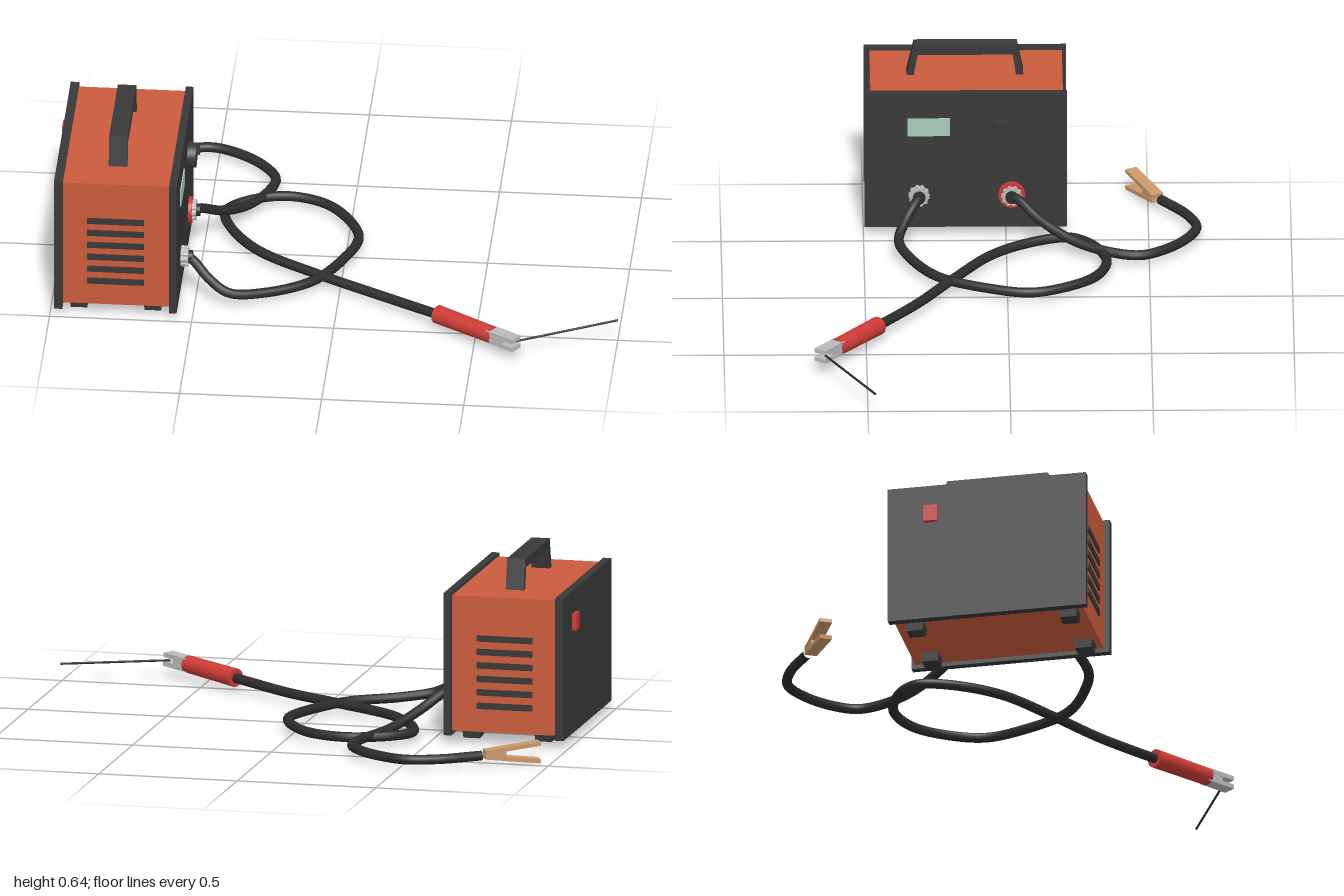
import * as THREE from 'three';

const mat = (name, color) => Object.assign(new THREE.MeshStandardMaterial({ color }), { name });

export function createModel() {
  const orange = mat('orange casing', 0xcb5b3c);
  const dark = mat('dark panel', 0x383838);
  const black = mat('black rubber', 0x2c2c2e);
  const red = mat('red plastic', 0xcc3b36);
  const steel = mat('steel', 0xb9b9b9);
  const mint = mat('display mint', 0xa6ccb8);
  const copper = mat('copper', 0xc9976b);

  const model = new THREE.Group();
  model.name = 'weldingMachine';

  const add = (name, geo, material, x = 0, y = 0, z = 0, parent = model) => {
    const mesh = new THREE.Mesh(geo, material);
    mesh.name = name;
    mesh.position.set(x, y, z);
    parent.add(mesh);
    return mesh;
  };
  // box from its minimum and maximum corners
  const box = (name, a, b, material, parent = model) =>
    add(name, new THREE.BoxGeometry(b[0] - a[0], b[1] - a[1], b[2] - a[2]), material,
      (a[0] + b[0]) / 2, (a[1] + b[1]) / 2, (a[2] + b[2]) / 2, parent);
  // cylinder lying along x
  const discX = (r, length, sides = 32) => new THREE.CylinderGeometry(r, r, length, sides).rotateZ(-Math.PI / 2);
  // outline drawn in (z, y), extruded along x and centred
  const extrudeX = (shape, depth) =>
    new THREE.ExtrudeGeometry(shape, { depth, bevelEnabled: false }).translate(0, 0, -depth / 2).rotateY(-Math.PI / 2);
  const outline = pts => new THREE.Shape(pts.map(p => new THREE.Vector2(...p)));

  // casing and end panels
  box('casing', [-0.965, 0.045, -0.2], [-0.57, 0.53, 0.475], orange);
  box('backPanel', [-0.985, 0.03, -0.214], [-0.955, 0.54, 0.496], dark);
  box('frontPanel', [-0.58, 0.03, -0.214], [-0.553, 0.54, 0.496], dark);

  // vents on both sides
  for (const [side, z] of [['left', 0.476], ['right', -0.201]])
    for (let i = 0; i < 6; i++)
      add(side + 'Vent', new THREE.BoxGeometry(0.2, 0.022, 0.009), dark, -0.77, 0.139 + i * 0.0483, z);

  // feet, tapering downwards
  for (const x of [-0.9, -0.64])
    for (const z of [-0.13, 0.42]) {
      const foot = new THREE.BoxGeometry(0.066, 0.034, 0.066);
      const p = foot.attributes.position;
      for (let i = 0; i < p.count; i++)
        if (p.getY(i) < 0) p.setXYZ(i, p.getX(i) * 0.88, p.getY(i), p.getZ(i) * 0.88);
      foot.computeVertexNormals();
      add('foot', foot, dark, x, 0.03, z);
    }

  // carrying handle
  add('handle', extrudeX(outline([
    [-0.063, 0.528], [-0.04, 0.638], [0.322, 0.638], [0.348, 0.528],
    [0.322, 0.528], [0.308, 0.606], [-0.026, 0.606], [-0.037, 0.528]]), 0.065), dark, -0.772);

  // display, knob and power switch
  box('display', [-0.556, 0.378, 0.196], [-0.549, 0.445, 0.346], mint);
  add('knob', discX(0.044, 0.03), dark, -0.538, 0.396, 0.013);
  box('knobPointer', [-0.53, 0.4, 0.006], [-0.511, 0.44, 0.02], dark);
  box('powerSwitch', [-1, 0.4, -0.085], [-0.983, 0.46, -0.035], red);

  // cable sockets with knurled collars
  const knurl = [];
  for (let i = 0; i < 40; i++) {
    const a = (i / 40) * Math.PI * 2, r = i % 4 < 2 ? 0.037 : 0.032;
    knurl.push([Math.cos(a) * r, Math.sin(a) * r]);
  }
  for (const z of [0.305, -0.02]) {
    add('socketCollar', extrudeX(outline(knurl), 0.03), steel, -0.541, 0.155, z);
    add('socketPlug', discX(0.022, 0.02), black, -0.522, 0.155, z);
  }
  add('socketRing', discX(0.047, 0.016), red, -0.548, 0.155, -0.02);

  // cables
  const cable = (name, pts, segments) => {
    const curve = new THREE.CatmullRomCurve3(pts.map(p => new THREE.Vector3(...p)));
    return add(name, new THREE.TubeGeometry(curve, segments, 0.0175, 12), black);
  };
  cable('holderCable', [
    [-0.54, 0.155, 0.3], [-0.51, 0.145, 0.315], [-0.45, 0.095, 0.355], [-0.38, 0.055, 0.378], [-0.265, 0.038, 0.34],
    [-0.1, 0.035, 0.24], [0, 0.035, 0.07], [0.04, 0.035, -0.08], [-0.01, 0.035, -0.21], [-0.1, 0.035, -0.31],
    [-0.235, 0.035, -0.35], [-0.37, 0.036, -0.305], [-0.435, 0.036, -0.24], [-0.44, 0.036, -0.19],
    [-0.39, 0.036, -0.07], [-0.29, 0.036, 0.053], [-0.08, 0.036, 0.19], [0.136, 0.038, 0.315], [0.38, 0.051, 0.47]], 160);
  cable('clampCable', [
    [-0.54, 0.155, -0.02], [-0.51, 0.145, -0.05], [-0.45, 0.1, -0.118], [-0.37, 0.052, -0.24], [-0.3, 0.038, -0.375],
    [-0.285, 0.035, -0.47], [-0.335, 0.035, -0.556], [-0.425, 0.035, -0.63], [-0.527, 0.035, -0.668],
    [-0.64, 0.035, -0.635], [-0.77, 0.036, -0.545]], 100);

  // electrode holder, its length along local z
  const holder = new THREE.Group();
  holder.name = 'electrodeHolder';
  holder.position.set(0.362, 0.051, 0.458);
  holder.lookAt(0.57, 0.06, 0.604);
  model.add(holder);
  add('holderGrip', new THREE.CylinderGeometry(0.031, 0.033, 0.255, 24).rotateX(Math.PI / 2), red, 0, 0, 0.1275, holder);
  for (const s of [-1, 1])
    add('holderJaw', new THREE.BoxGeometry(0.046, 0.016, 0.12), steel, 0, s * 0.016, 0.3, holder);
  add('jawBlock', new THREE.BoxGeometry(0.042, 0.03, 0.06), steel, 0, 0, 0.28, holder);

  // welding rod
  const from = new THREE.Vector3(0.645, 0.061, 0.646), to = new THREE.Vector3(0.998, 0.066, 0.474);
  const rod = new THREE.CylinderGeometry(0.004, 0.004, from.distanceTo(to), 8).rotateX(Math.PI / 2);
  const rodMid = from.clone().lerp(to, 0.5);
  add('weldingRod', rod, black, rodMid.x, rodMid.y, rodMid.z).lookAt(to);

  // earth clamp, two jaws opening away from the cable
  const clamp = new THREE.Group();
  clamp.name = 'earthClamp';
  clamp.position.set(-0.778, 0.039, -0.534);
  clamp.lookAt(-0.955, 0.039, -0.441);
  model.add(clamp);
  for (const s of [-1, 1]) {
    const jaw = add('clampJaw', new THREE.BoxGeometry(0.044, 0.014, 0.2).translate(0, 0, 0.1), copper, 0, s * 0.008, 0, clamp);
    jaw.rotation.x = -s * 0.12;
  }
  add('clampHinge', new THREE.BoxGeometry(0.04, 0.026, 0.06), copper, 0, 0, 0.045, clamp);

  return model;
}
